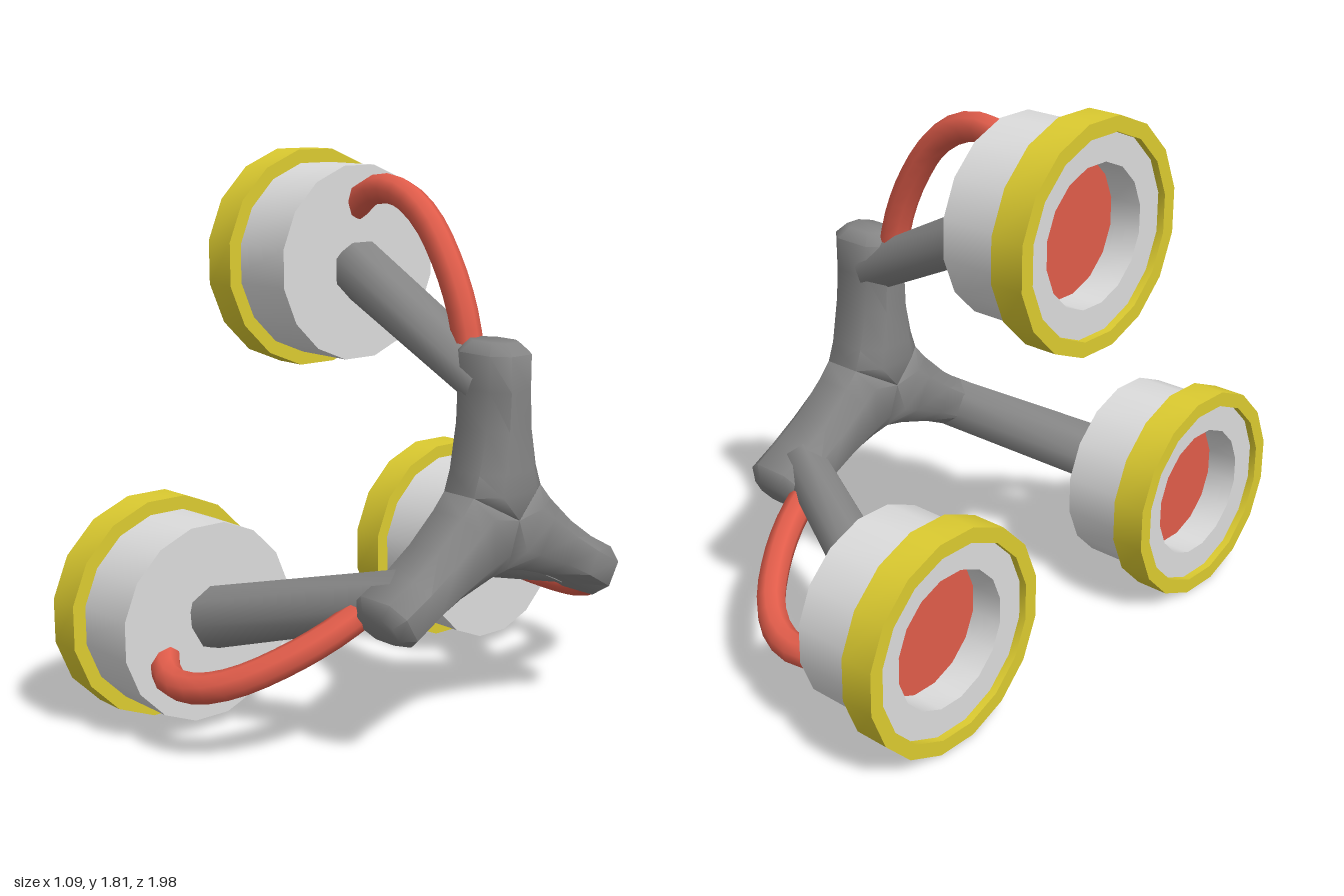
import * as THREE from 'three';
import { toCreasedNormals } from 'three/addons/utils/BufferGeometryUtils.js';

const AXIS_Y = 0.73;   // height of the three-fold axis
const REACH = 0.73;    // distance of each cup from that axis

const material = (name, color) => {
  const m = new THREE.MeshStandardMaterial({ color });
  m.name = name;
  return m;
};

const part = (name, geometry, mat) => {
  const mesh = new THREE.Mesh(geometry, mat);
  mesh.name = name;
  return mesh;
};

// Sixteen-sided turned part; profile points are [radius, x]
function turned(profile) {
  const g = new THREE.LatheGeometry(profile.map(([r, x]) => new THREE.Vector2(r, x)), 16, Math.PI / 16);
  g.rotateZ(-Math.PI / 2);
  return toCreasedNormals(g, 0.6);
}

// One third of the hub: eight-sided sections lofted outwards from the axis
function spokeGeometry() {
  const cx = 0.4225;
  // radius, half width, half depth, chamfer depth
  const sections = [
    [0, 0, 0.1175, 0.1175],
    [0.083, 0.145, 0.1175, 0.065],
    [0.15, 0.122, 0.1175, 0.065],
    [0.28, 0.093, 0.1175, 0.065],
    [0.4, 0.082, 0.1175, 0.065],
    [0.51, 0.085, 0.1175, 0.065],
    [0.545, 0.052, 0.08, 0.04],
  ];
  const pos = [], idx = [];
  for (const [r, w, d, c] of sections) {
    const n = w * 0.5;
    for (const [x, z] of [[d, n], [c, w], [-c, w], [-d, n], [-d, -n], [-c, -w], [c, -w], [d, -n]]) {
      pos.push(cx + x, r, z);
    }
  }
  for (let s = 0; s < sections.length - 1; s++) {
    for (let i = 0; i < 8; i++) {
      const a = s * 8 + i, b = s * 8 + (i + 1) % 8;
      idx.push(a, b + 8, b, a, a + 8, b + 8);
    }
  }
  const end = (sections.length - 1) * 8;
  for (let i = 1; i < 7; i++) idx.push(end, end + i + 1, end + i);
  // Wind every face outwards
  const g = new THREE.BufferGeometry();
  g.setAttribute('position', new THREE.Float32BufferAttribute(pos, 3));
  const p = new THREE.Vector3(), q = new THREE.Vector3(), o = new THREE.Vector3();
  const at = (v, i) => v.fromBufferAttribute(g.attributes.position, i);
  at(o, end); at(p, end + 2); at(q, end + 1);
  if (p.sub(o).cross(q.sub(o)).y < 0) {
    for (let i = 0; i < idx.length; i += 3) [idx[i + 1], idx[i + 2]] = [idx[i + 2], idx[i + 1]];
  }
  g.setIndex(idx);
  return toCreasedNormals(g, 0.9);
}

// Slanted eight-sided strut from the elbow to the back of the cup
function strutGeometry() {
  const from = new THREE.Vector3(0.4, 0.405, 0), to = new THREE.Vector3(-0.23, 0.72, 0);
  const dir = to.clone().sub(from);
  const g = new THREE.CylinderGeometry(0.108, 0.092, dir.length(), 8, 1, false, Math.PI / 8);
  g.scale(0.87, 1, 1);
  g.applyQuaternion(new THREE.Quaternion().setFromUnitVectors(new THREE.Vector3(0, 1, 0), dir.clone().normalize()));
  g.translate((from.x + to.x) / 2, (from.y + to.y) / 2, 0);
  return toCreasedNormals(g, 0.9);
}

// Arched cable from the cup back to the elbow
function cableGeometry() {
  const path = [[-0.23, 0.91], [-0.16, 0.96], [-0.08, 0.978], [0.02, 0.958],
    [0.125, 0.885], [0.225, 0.745], [0.285, 0.61], [0.312, 0.5]];
  const curve = new THREE.CatmullRomCurve3(path.map(([x, y]) => new THREE.Vector3(x, y, 0)));
  return new THREE.TubeGeometry(curve, 14, 0.048, 8);
}

export function createModel() {
  const yellow = material('yellow', 0xdccb30);
  const white = material('light grey', 0xdcdcdc);
  const grey = material('mid grey', 0x858585);
  const red = material('red', 0xe05c4a);

  const spoke = spokeGeometry(), strut = strutGeometry(), cable = cableGeometry();
  const cup = turned([[0.225, -0.41], [0.225, -0.52], [0.322, -0.52], [0.322, -0.205], [0, -0.205]]);
  const rim = turned([[0.318, -0.51], [0.318, -0.545], [0.367, -0.545], [0.367, -0.43], [0.318, -0.43]]);
  const lens = turned([[0, -0.41], [0.227, -0.41]]);

  const model = new THREE.Group();
  model.name = 'threeCupBracket';
  for (let k = 0; k < 3; k++) {
    const angle = k * Math.PI * 2 / 3;

    const arm = new THREE.Group();
    arm.name = 'arm';
    arm.position.y = AXIS_Y;
    arm.rotation.x = angle;
    arm.add(part('spoke', spoke, grey), part('strut', strut, grey), part('cable', cable, red));

    const thruster = new THREE.Group();
    thruster.name = 'cupAssembly';
    thruster.position.set(0, AXIS_Y + REACH * Math.cos(angle), REACH * Math.sin(angle));
    thruster.add(part('cup', cup, white), part('rim', rim, yellow), part('innerDisc', lens, red));

    model.add(arm, thruster);
  }
  return model;
}
